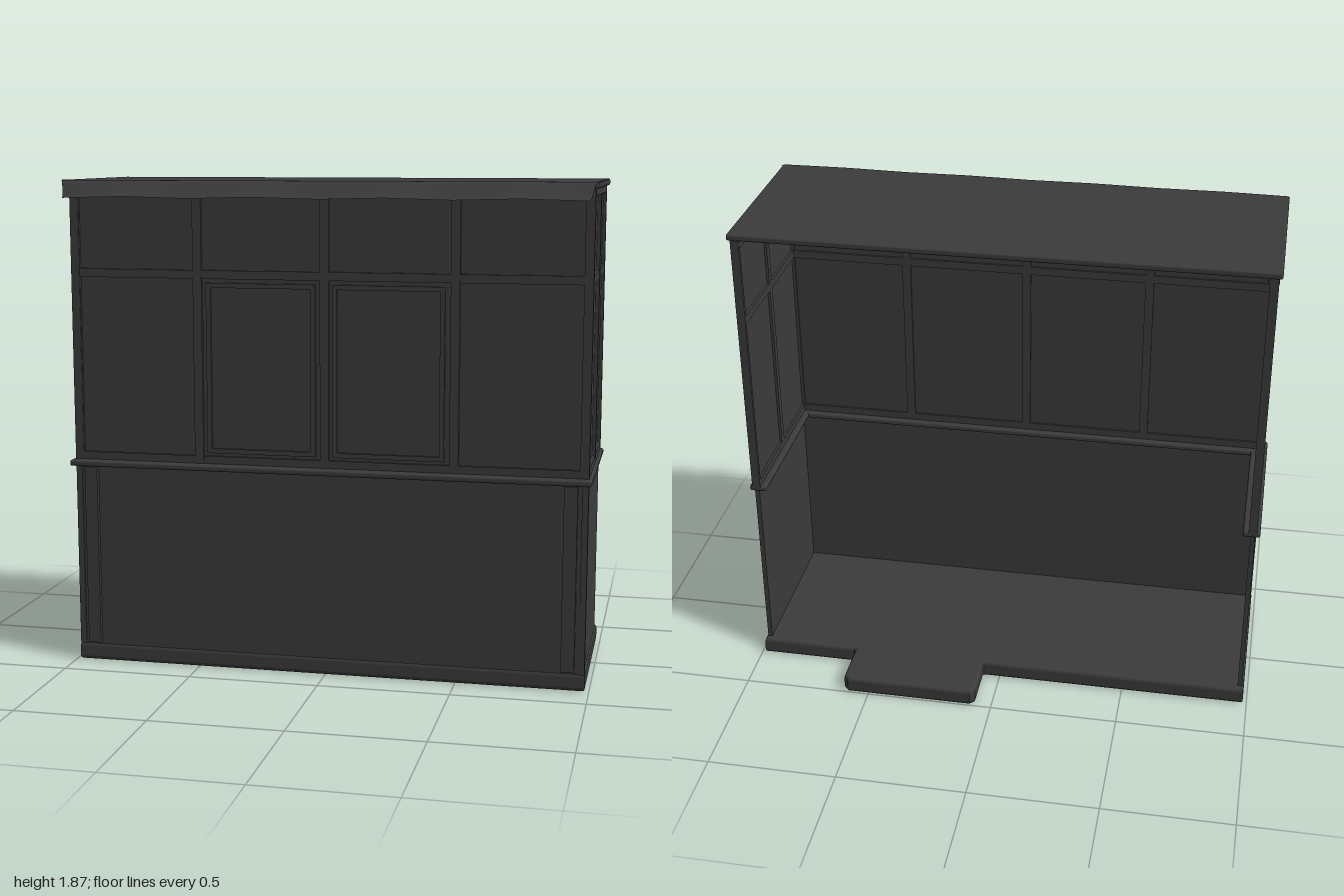
import * as THREE from 'three';
import { RoundedBoxGeometry } from 'three/addons/geometries/RoundedBoxGeometry.js';

export function createModel() {
  const model = new THREE.Group();
  model.name = 'ticketBooth';
  const charcoal = new THREE.MeshStandardMaterial({ color: 0x3c3c3c, side: THREE.DoubleSide });
  charcoal.name = 'charcoal';

  const add = (parent, name, geometry) => {
    const mesh = new THREE.Mesh(geometry, charcoal);
    mesh.name = name;
    parent.add(mesh);
    return mesh;
  };
  // box given by its limits, optionally with rounded edges
  const box = (parent, name, x0, x1, y0, y1, z0, z1, r = 0) => {
    const s = [x1 - x0, y1 - y0, z1 - z0];
    const g = r ? new RoundedBoxGeometry(...s, 2, r) : new THREE.BoxGeometry(...s);
    g.translate((x0 + x1) / 2, (y0 + y1) / 2, (z0 + z1) / 2);
    return add(parent, name, g);
  };
  const group = (name) => {
    const g = new THREE.Group();
    g.name = name;
    model.add(g);
    return g;
  };

  // floor slab with a doorstep at the back, soft edges
  const b = 0.015;
  const plan = new THREE.Shape([
    [-0.97, -0.355], [0.97, -0.355], [0.97, 0.29], [0.6, 0.29], [0.585, 0.305],
    [0.585, 0.475], [0.575, 0.485], [0.09, 0.485], [0.08, 0.475], [0.08, 0.305],
    [0.065, 0.29], [-0.97, 0.29],
  ].map(([x, y]) => new THREE.Vector2(x, y)));
  const slab = new THREE.ExtrudeGeometry(plan, {
    depth: 0.07 - 2 * b, bevelEnabled: true, bevelSize: b, bevelThickness: b, bevelSegments: 3,
  });
  slab.rotateX(-Math.PI / 2).translate(0, b, 0);
  add(model, 'floorSlab', slab);

  // lower walls, open at the back
  const lower = group('lowerWalls');
  box(lower, 'frontPanel', -0.97, 0.97, 0.065, 0.785, 0.345, 0.365);
  for (const s of [-1, 1]) {
    const span = (a, c) => (s > 0 ? [a, c] : [-c, -a]);
    box(lower, 'sidePanel', ...span(0.96, 0.978), 0.065, 0.785, -0.28, 0.35);
    box(lower, 'cornerPost', ...span(0.96, 0.983), 0.065, 0.785, 0.34, 0.37);
    box(lower, 'frontPilaster', ...span(0.895, 0.945), 0.075, 0.775, 0.36, 0.383);
  }

  // three-sided rails at counter and ceiling height
  const rail = (name, y0, y1, xOut, zOut, xIn, zIn) => {
    const g = group(name);
    box(g, 'frontRail', -xOut, xOut, y0, y1, zIn, zOut, 0.008);
    box(g, 'leftRail', xIn, xOut, y0, y1, -0.29, zOut, 0.008);
    box(g, 'rightRail', -xOut, -xIn, y0, y1, -0.29, zOut, 0.008);
  };
  rail('counterLedge', 0.78, 0.803, 0.996, 0.408, 0.93, 0.315);
  rail('ceilingRail', 1.815, 1.848, 0.985, 0.368, 0.945, 0.33);

  // glazed front: bars in front of and behind thin panes
  const front = group('frontWindows');
  box(front, 'frontPanes', -0.97, 0.97, 0.8, 1.85, 0.348, 0.356);
  for (const x of [-0.967, -0.4875, 0, 0.4875, 0.967]) {
    box(front, 'mullion', x - 0.017, x + 0.017, 0.8, 1.85, 0.34, 0.368);
  }
  for (const y of [0.8, 1.505]) box(front, 'crossBar', -0.97, 0.97, y, y + 0.032, 0.34, 0.367);

  // two serving sashes
  for (const x of [-0.245, 0.24]) {
    const sash = group('servingSash');
    const frame = (w, h) => [[-w, -h], [w, -h], [w, h], [-w, h]].map(([a, c]) => new THREE.Vector2(a, c));
    const outline = new THREE.Shape(frame(0.21, 0.323));
    outline.holes.push(new THREE.Path(frame(0.192, 0.305)));
    const g = new THREE.ExtrudeGeometry(outline, { depth: 0.012, bevelEnabled: false });
    g.translate(x, 1.167, 0.354);
    add(sash, 'sashFrame', g);
  }

  // glazed sides
  for (const s of [-1, 1]) {
    const side = group(s > 0 ? 'leftWindows' : 'rightWindows');
    const span = (a, c) => (s > 0 ? [a, c] : [-c, -a]);
    box(side, 'sidePanes', ...span(0.962, 0.97), 0.8, 1.85, -0.29, 0.365);
    for (const [z0, z1] of [[0.34, 0.37], [0.015, 0.045], [-0.292, -0.278]]) {
      box(side, 'sideMullion', ...span(0.952, 0.984), 0.8, 1.85, z0, z1);
    }
    for (const y of [0.8, 1.507]) box(side, 'sideCrossBar', ...span(0.952, 0.983), y, y + 0.03, -0.29, 0.365);
  }

  // roof plate
  box(model, 'roof', -0.996, 0.996, 1.845, 1.87, -0.3, 0.415, 0.008);

  // scalloped awning lip: profile swept along x, billowing between its ties
  const profile = [[0.4, 1.87], [0.422, 1.869], [0.434, 1.858], [0.447, 1.83], [0.468, 1.805]];
  const stations = 17, pos = [], index = [];
  for (let i = 0; i < stations; i++) {
    const u = i / (stations - 1);
    const billow = 1 - Math.abs(((u * 4) % 1) * 2 - 1);
    profile.forEach(([z, y], j) => {
      const t = j / (profile.length - 1);
      const w = 0.998 - 0.025 * t;
      pos.push((u * 2 - 1) * w, y + 0.007 * billow * t, z + 0.03 * billow * t * t);
    });
  }
  const n = profile.length;
  for (let i = 0; i < stations - 1; i++) {
    for (let j = 0; j < n - 1; j++) {
      const a = i * n + j;
      index.push(a, a + 1, a + n, a + 1, a + n + 1, a + n);
    }
  }
  const lip = new THREE.BufferGeometry();
  lip.setAttribute('position', new THREE.Float32BufferAttribute(pos, 3));
  lip.setIndex(index);
  lip.computeVertexNormals();
  add(model, 'awningLip', lip);

  return model;
}
